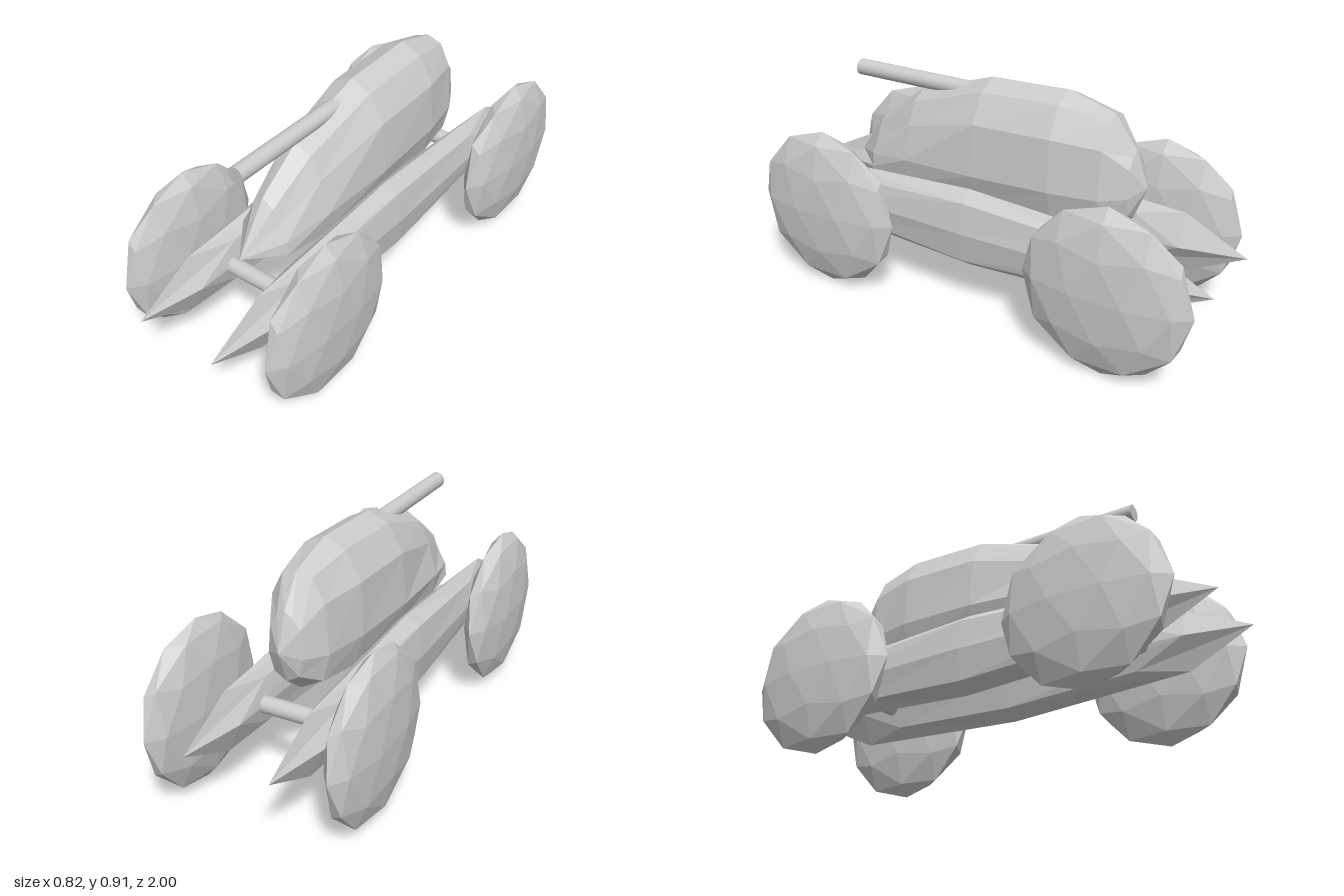
import * as THREE from 'three';

const flat = new THREE.MeshStandardMaterial({ color: 0xcccccc, flatShading: true });
const smooth = new THREE.MeshStandardMaterial({ color: 0xcccccc });

function part(name, geometry, material, x = 0, y = 0, z = 0) {
  const mesh = new THREE.Mesh(geometry, material);
  mesh.name = name;
  mesh.position.set(x, y, z);
  return mesh;
}

// Flattened 80-face ball with one corner pointing straight up
function wheelGeometry() {
  return new THREE.IcosahedronGeometry(1, 1)
    .rotateX(-Math.atan2(1 + Math.sqrt(5), 2))
    .rotateY(Math.PI / 2)
    .scale(0.082, 0.331, 0.331);
}

// Box with its edges and corners drawn in, stretched into a pointed bar
function railGeometry() {
  const geometry = new THREE.BoxGeometry(2, 2, 2, 2, 2, 2);
  const pos = geometry.attributes.position;
  const pull = [1, 1, 0.75, 5 / 9];
  const v = new THREE.Vector3();
  for (let i = 0; i < pos.count; i++) {
    v.fromBufferAttribute(pos, i).round();
    v.multiplyScalar(pull[Math.abs(v.x) + Math.abs(v.y) + Math.abs(v.z)]);
    pos.setXYZ(i, v.x, v.y, v.z);
  }
  geometry.scale(0.073, 0.165, 1);
  geometry.computeVertexNormals();
  return geometry;
}

// Hull sections from nose to tail: z, then half outline as [x, y] from top to bottom
const tip = (y) => Array.from({ length: 6 }, () => [0, y]);
const sections = [
  [0.66, tip(0.47)],
  [0.52, [[0, 0.665], [0.045, 0.63], [0.07, 0.57], [0.105, 0.51], [0.11, 0.455], [0, 0.42]]],
  [0.33, [[0, 0.8], [0.065, 0.76], [0.108, 0.67], [0.145, 0.535], [0.125, 0.435], [0, 0.38]]],
  [0, [[0, 0.905], [0.083, 0.865], [0.147, 0.755], [0.165, 0.55], [0.125, 0.43], [0, 0.365]]],
  [-0.33, [[0, 0.915], [0.083, 0.877], [0.145, 0.765], [0.155, 0.56], [0.118, 0.43], [0, 0.37]]],
  [-0.52, [[0, 0.86], [0.06, 0.84], [0.105, 0.75], [0.12, 0.56], [0.095, 0.45], [0, 0.4]]],
  [-0.61, [[0, 0.74], [0.03, 0.72], [0.06, 0.68], [0.07, 0.57], [0.05, 0.5], [0, 0.47]]],
  [-0.66, tip(0.6)],
];

function hullGeometry() {
  const points = [];
  const index = [];
  const n = 10;
  sections.forEach(([z, half]) => {
    const mirrored = half.slice(1, -1).reverse().map(([x, y]) => [-x, y]);
    [...half, ...mirrored].forEach(([x, y]) => points.push(x, y, z));
  });
  for (let i = 0; i < sections.length - 1; i++) {
    for (let j = 0; j < n; j++) {
      const a = i * n + j;
      const b = i * n + ((j + 1) % n);
      if (i < sections.length - 2) index.push(b, b + n, a + n);
      else index.push(a, b, a + n);
      if (i > 0 && i < sections.length - 2) index.push(a, b, a + n);
    }
  }
  const geometry = new THREE.BufferGeometry();
  geometry.setAttribute('position', new THREE.Float32BufferAttribute(points, 3));
  geometry.setIndex(index);
  geometry.computeVertexNormals();
  return geometry;
}

export function createModel() {
  const model = new THREE.Group();
  model.name = 'buggy';

  model.add(part('hull', hullGeometry(), flat));

  // Barrel runs forward out of the sloping hull top
  const barrel = new THREE.CylinderGeometry(0.033, 0.033, 0.645, 32).rotateX(Math.PI / 2);
  model.add(part('barrel', barrel, smooth, 0, 0.835, 0.3225));

  // Long pointed side rails
  const rail = railGeometry();
  for (const side of [-1, 1]) {
    model.add(part(side > 0 ? 'leftRail' : 'rightRail', rail, flat, side * 0.167, 0.335, 0));
  }

  // Axles
  const axle = new THREE.CylinderGeometry(0.033, 0.033, 0.666, 32).rotateZ(Math.PI / 2);
  model.add(part('frontAxle', axle, smooth, 0, 0.335, 0.585));
  model.add(part('rearAxle', axle, smooth, 0, 0.335, -0.59));

  // Wheels; the left rear one sits slightly further back
  const wheel = wheelGeometry();
  const wheels = [
    ['frontLeftWheel', 0.333, 0.585],
    ['frontRightWheel', -0.333, 0.585],
    ['rearLeftWheel', 0.333, -0.667],
    ['rearRightWheel', -0.333, -0.59],
  ];
  for (const [name, x, z] of wheels) model.add(part(name, wheel, flat, x, 0.335, z));

  return model;
}
